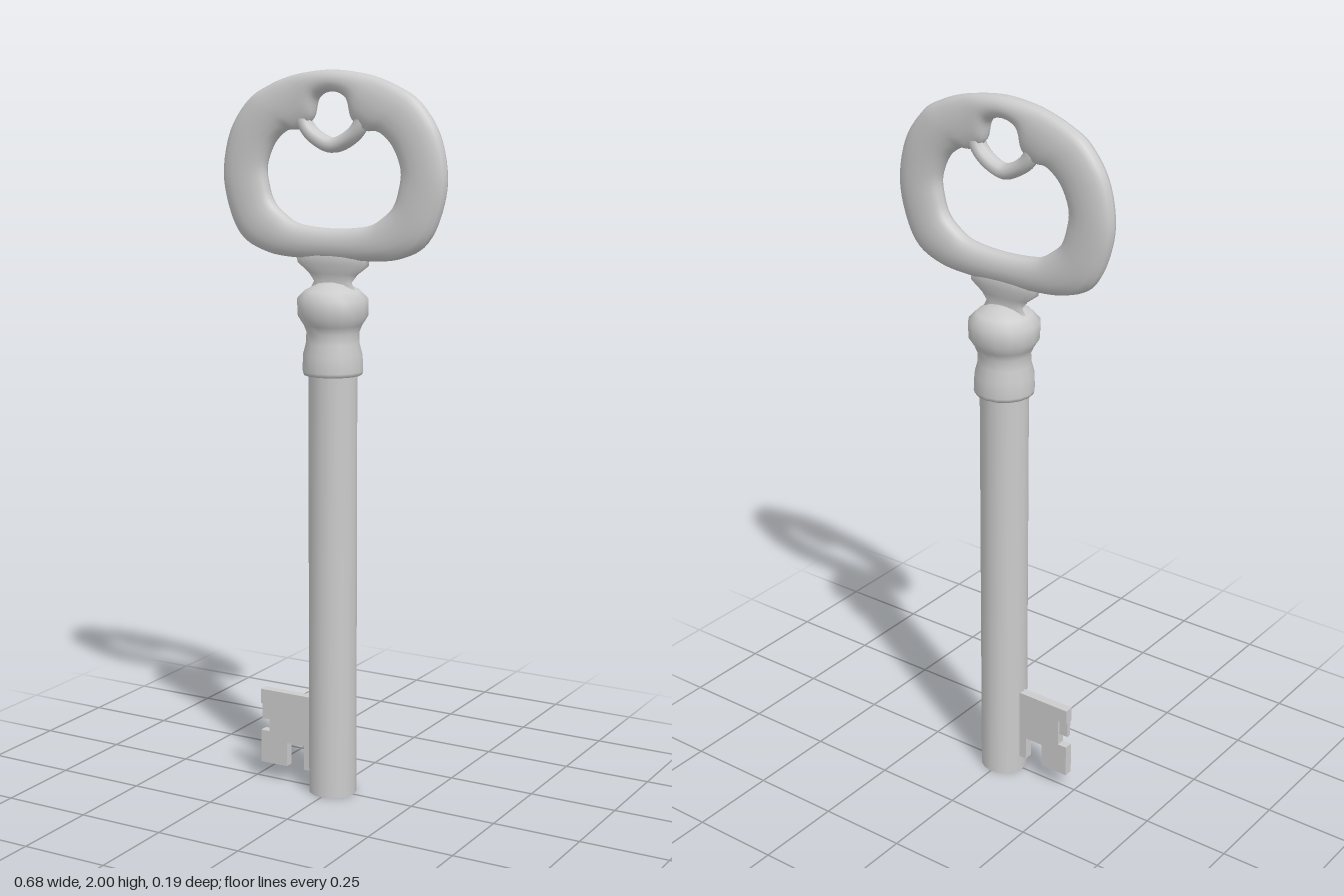
import * as THREE from 'three';
import { toCreasedNormals } from 'three/addons/utils/BufferGeometryUtils.js';

const material = new THREE.MeshStandardMaterial({ color: 0xcccccc });

function add(group, name, geometry) {
  const mesh = new THREE.Mesh(geometry, material);
  mesh.name = name;
  group.add(mesh);
  return mesh;
}

const lathe = (pts) =>
  new THREE.LatheGeometry(pts.map(([x, y]) => new THREE.Vector2(x, y)), 16);

// Closed smooth curve from the right half of an outline, bottom to top
function mirroredLoop(half) {
  const left = half.slice(1, -1).reverse().map(([x, y]) => [-x, y]);
  const pts = [...half, ...left].map(([x, y]) => new THREE.Vector3(x, y, 0));
  return new THREE.CatmullRomCurve3(pts, true, 'catmullrom', 0.5);
}

// Band between two outlines with a rounded, flattened cross-section
function bandGeometry(outer, inner, halfDepth, around, sides) {
  const pos = [], index = [];
  for (let i = 0; i < around; i++) {
    const a = outer.getPoint(i / around), b = inner.getPoint(i / around);
    for (let j = 0; j < sides; j++) {
      const phi = (j / sides) * Math.PI * 2, s = Math.sin(phi);
      const p = a.clone().lerp(b, 0.5 - 0.5 * Math.cos(phi));
      pos.push(p.x, p.y, halfDepth * Math.sign(s) * Math.abs(s) ** 0.8);
      const i2 = ((i + 1) % around) * sides, j2 = (j + 1) % sides;
      const A = i * sides + j, B = i2 + j, C = i2 + j2, D = i * sides + j2;
      index.push(A, B, C, A, C, D);
    }
  }
  const g = new THREE.BufferGeometry();
  g.setAttribute('position', new THREE.Float32BufferAttribute(pos, 3));
  g.setIndex(index);
  g.computeVertexNormals();
  return g;
}

// Flat plate with a little thickness
function plate(points, depth) {
  const shape = new THREE.Shape(points.map(([x, y]) => new THREE.Vector2(x, y)));
  return new THREE.ExtrudeGeometry(shape, { depth, bevelEnabled: false })
    .translate(0, 0, -depth / 2);
}

export function createModel() {
  const key = new THREE.Group();
  key.name = 'key';

  // Round shaft
  add(key, 'shaft', toCreasedNormals(
    new THREE.CylinderGeometry(0.067, 0.067, 1.25, 16).translate(0, 0.625, 0), 0.7));

  // Turned collar at the top of the shaft
  add(key, 'collar', lathe([
    [0.066, 1.19], [0.08, 1.19], [0.083, 1.2], [0.081, 1.245], [0.073, 1.275],
    [0.072, 1.305], [0.08, 1.325], [0.096, 1.35], [0.097, 1.395],
    [0.075, 1.418], [0.04, 1.435], [0, 1.442],
  ]));

  // Flat flaring neck below the bow
  const neck = add(key, 'neck', lathe([
    [0.075, 1.41], [0.058, 1.44], [0.075, 1.462], [0.11, 1.488], [0.115, 1.53], [0, 1.54],
  ]));
  neck.scale.z = 0.22;

  // Oval bow
  const outer = mirroredLoop([
    [0, 1.5], [0.11, 1.5], [0.2, 1.51], [0.275, 1.545], [0.317, 1.614], [0.339, 1.72],
    [0.317, 1.836], [0.26, 1.92], [0.2, 1.957], [0.14, 1.98], [0.08, 1.993], [0, 2],
  ]);
  const inner = mirroredLoop([
    [0, 1.583], [0.106, 1.593], [0.155, 1.62], [0.185, 1.65], [0.2, 1.69], [0.206, 1.745],
    [0.18, 1.805], [0.137, 1.84], [0.1, 1.843], [0.061, 1.87], [0.045, 1.925], [0, 1.943],
  ]);
  add(key, 'bow', bandGeometry(outer, inner, 0.033, 110, 16));

  // Drooping bridge that closes the small hole at the top of the bow
  const bridgePath = new THREE.CatmullRomCurve3([
    [-0.095, 1.905], [-0.085, 1.86], [-0.058, 1.828], [0, 1.803],
    [0.058, 1.828], [0.085, 1.86], [0.095, 1.905],
  ].map(([x, y]) => new THREE.Vector3(x, y, 0)));
  const bridge = add(key, 'bowBridge', new THREE.TubeGeometry(bridgePath, 32, 0.021, 10));
  bridge.scale.z = 1.2;

  // Notched bit on the right of the shaft
  add(key, 'bit', plate([
    [-0.04, 0.265], [-0.228, 0.265], [-0.228, 0.222], [-0.2, 0.222], [-0.2, 0.143],
    [-0.228, 0.143], [-0.228, 0.048], [-0.143, 0.048], [-0.143, 0.118],
    [-0.087, 0.118], [-0.087, 0.048], [-0.04, 0.048],
  ], 0.026));
  add(key, 'bitStep', plate([
    [-0.195, 0.224], [-0.228, 0.224], [-0.228, 0.176], [-0.195, 0.176],
  ], 0.014));

  return key;
}
